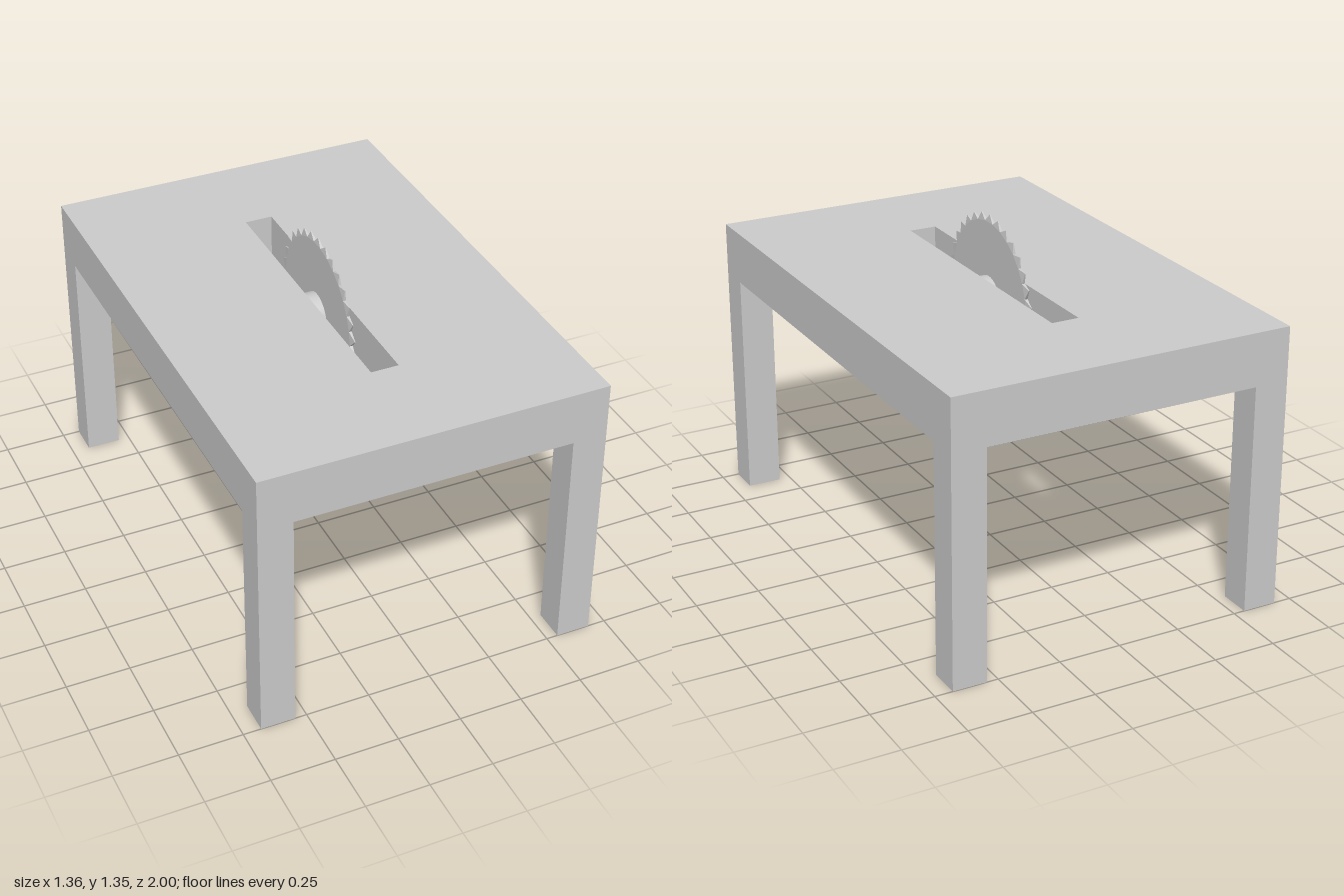
import * as THREE from 'three';

const TOP = 1.12, UNDER = 0.91, AXIS = 1.017;
const HALF_X = 0.68, HALF_Z = 1;

export function createModel() {
  const model = new THREE.Group();
  model.name = 'sawTable';
  const material = new THREE.MeshStandardMaterial({ color: 0xcccccc });
  const flat = new THREE.MeshStandardMaterial({ color: 0xcccccc, flatShading: true });

  const add = (name, geometry, mat, x = 0, y = 0, z = 0) => {
    const mesh = new THREE.Mesh(geometry, mat);
    mesh.name = name;
    mesh.position.set(x, y, z);
    model.add(mesh);
  };

  const rectangle = (path, x0, z0, x1, z1) =>
    path.moveTo(x0, z0).lineTo(x1, z0).lineTo(x1, z1).lineTo(x0, z1).closePath();

  // Table top with a slot cut through it
  const slab = new THREE.Shape();
  rectangle(slab, -HALF_X, -HALF_Z, HALF_X, HALF_Z);
  const slot = new THREE.Path();
  rectangle(slot, -0.055, -0.575, 0.055, 0.575);
  slab.holes.push(slot);
  const slabGeometry = new THREE.ExtrudeGeometry(slab, { depth: TOP - UNDER, bevelEnabled: false });
  slabGeometry.rotateX(Math.PI / 2);
  add('tableTop', slabGeometry, flat, 0, TOP, 0);

  // Four legs flush with the corners
  const legX = 0.135, legZ = 0.13;
  for (const sx of [1, -1]) for (const sz of [1, -1]) {
    add(`${sz > 0 ? 'front' : 'back'}${sx > 0 ? 'Left' : 'Right'}Leg`,
      new THREE.BoxGeometry(legX, UNDER, legZ), flat,
      sx * (HALF_X - legX / 2), UNDER / 2, sz * (HALF_Z - legZ / 2));
  }

  // Axle across the slot
  const axle = new THREE.CylinderGeometry(0.088, 0.088, 0.11, 40);
  axle.rotateZ(Math.PI / 2);
  add('axle', axle, material, 0, AXIS, 0);

  // Toothed blade, with gullets shallower towards the top
  const teeth = 32, tipRadius = 0.333, thickness = 0.012;
  const points = [];
  for (let i = 0; i < teeth * 2; i++) {
    const a = Math.PI / 2 + (i * Math.PI) / teeth;
    const depth = 0.039 - 0.01 * Math.sin(a);
    const r = i % 2 ? tipRadius - depth : tipRadius;
    points.push(new THREE.Vector2(Math.cos(a) * r, Math.sin(a) * r));
  }
  const blade = new THREE.ExtrudeGeometry(new THREE.Shape(points), { depth: thickness, bevelEnabled: false });
  blade.translate(0, 0, -thickness / 2);

  // Thin the tooth tips to a point
  const p = blade.attributes.position;
  for (let i = 0; i < p.count; i++) {
    if (Math.hypot(p.getX(i), p.getY(i)) > tipRadius - 0.005) p.setZ(i, p.getZ(i) * 0.2);
  }
  blade.rotateY(Math.PI / 2);
  blade.computeVertexNormals();
  add('sawBlade', blade, flat, 0, AXIS, 0);

  return model;
}
